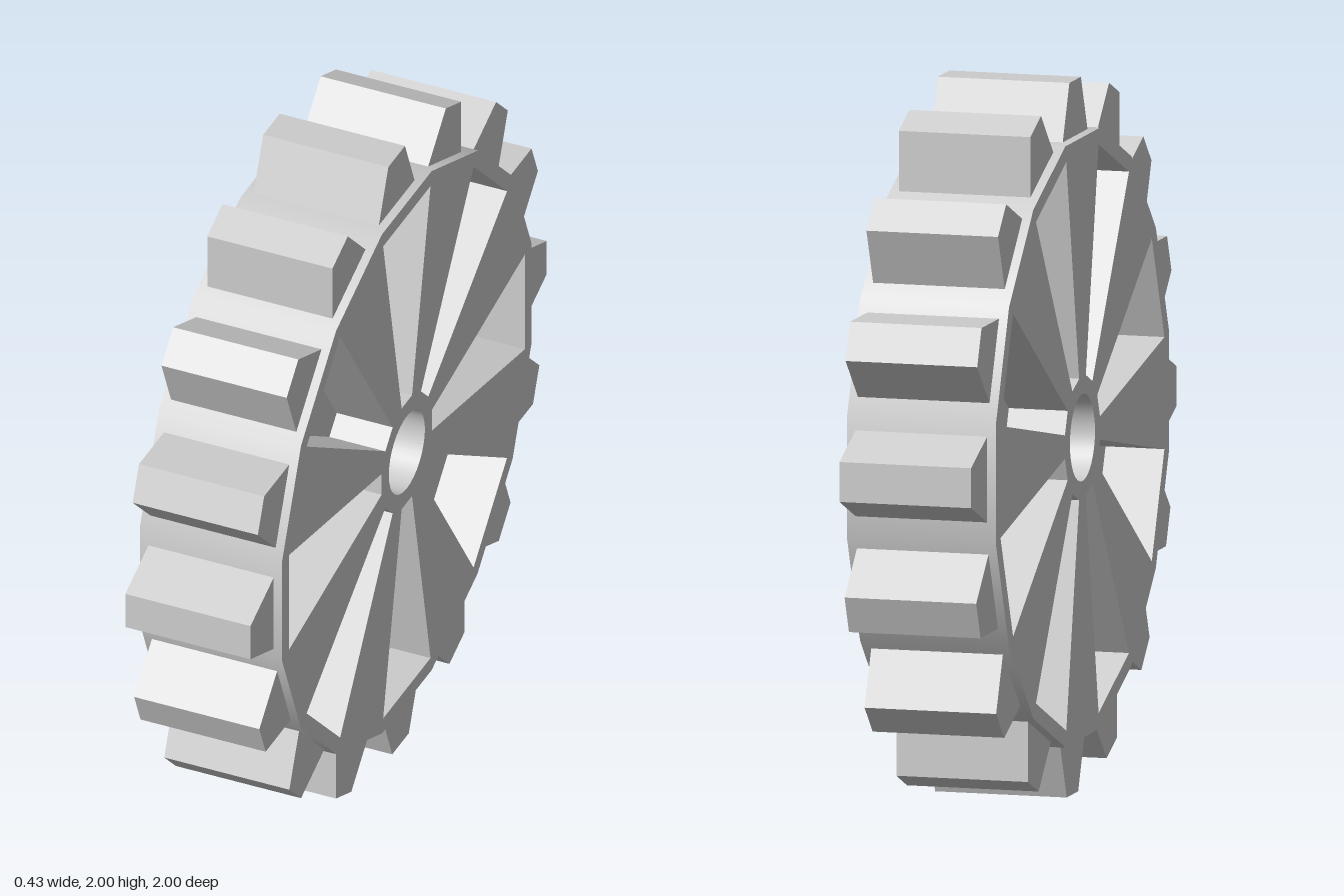
import * as THREE from 'three';
import { toCreasedNormals } from 'three/addons/utils/BufferGeometryUtils.js';

const material = new THREE.MeshStandardMaterial({ color: 0xcccccc });
const TEETH = 16, POCKETS = 8;
const RADIUS = 0.86, WIDTH = 0.43, TOOTH_WIDTH = 0.38, WEB = 0.09;

// Regular polygon points, turned by an offset angle
function ring(radius, sides, offset = 0) {
  return Array.from({ length: sides }, (_, i) => {
    const a = offset + (i / sides) * Math.PI * 2;
    return new THREE.Vector2(radius * Math.cos(a), radius * Math.sin(a));
  });
}

// Trapezoid pointing outward along the given angle, optionally shifted sideways
function wedge(r0, half0, r1, half1, angle, shift = 0) {
  return [[r0, -half0], [r1, -half1], [r1, half1], [r0, half0]].map(([x, y]) =>
    new THREE.Vector2(x, y + shift).rotateAround(new THREE.Vector2(), angle));
}

// Extrude a profile along the axle (x axis), centred on the given x
function extrude(shape, width, x = 0) {
  const g = new THREE.ExtrudeGeometry(shape, { depth: width, bevelEnabled: false });
  g.translate(0, 0, x - width / 2);
  g.rotateY(Math.PI / 2);
  return toCreasedNormals(g, Math.PI / 6);
}

// Disc profile with the axle bore, just inside the rim skin
function discShape() {
  const shape = new THREE.Shape(ring(RADIUS - 0.001, TEETH, Math.PI / TEETH));
  shape.holes.push(new THREE.Path(ring(0.122, 32)));
  return shape;
}

function add(group, name, geometry) {
  const mesh = new THREE.Mesh(geometry, material);
  mesh.name = name;
  group.add(mesh);
}

export function createModel() {
  const gear = new THREE.Group();
  gear.name = 'gearWheel';

  // Sixteen-sided rim skin, smooth around
  const rim = new THREE.CylinderGeometry(RADIUS, RADIUS, WIDTH, TEETH, 1, true, Math.PI / TEETH);
  rim.rotateZ(Math.PI / 2);
  add(gear, 'rim', rim);

  // Solid web in the middle
  add(gear, 'web', extrude(discShape(), WEB));

  // Spoked plates; the pockets of one side sit behind the spokes of the other
  const plate = (WIDTH - WEB) / 2;
  for (const side of [1, -1]) {
    const shape = discShape();
    const turn = side > 0 ? 0 : Math.PI / POCKETS;
    for (let i = 0; i < POCKETS; i++) {
      const angle = turn + (i / POCKETS) * Math.PI * 2;
      shape.holes.push(new THREE.Path(wedge(0.17, 0.035, 0.797, 0.16, angle)));
    }
    add(gear, side > 0 ? 'leftSpokes' : 'rightSpokes',
      extrude(shape, plate, side * (WEB + plate) / 2));
  }

  // Tapered teeth, set slightly off the radial line
  for (let i = 0; i < TEETH; i++) {
    const profile = wedge(0.82, 0.13, 1, 0.056, (i / TEETH) * Math.PI * 2, 0.013);
    add(gear, 'tooth', extrude(new THREE.Shape(profile), TOOTH_WIDTH));
  }

  gear.position.y = 1;
  const model = new THREE.Group();
  model.add(gear);
  return model;
}
